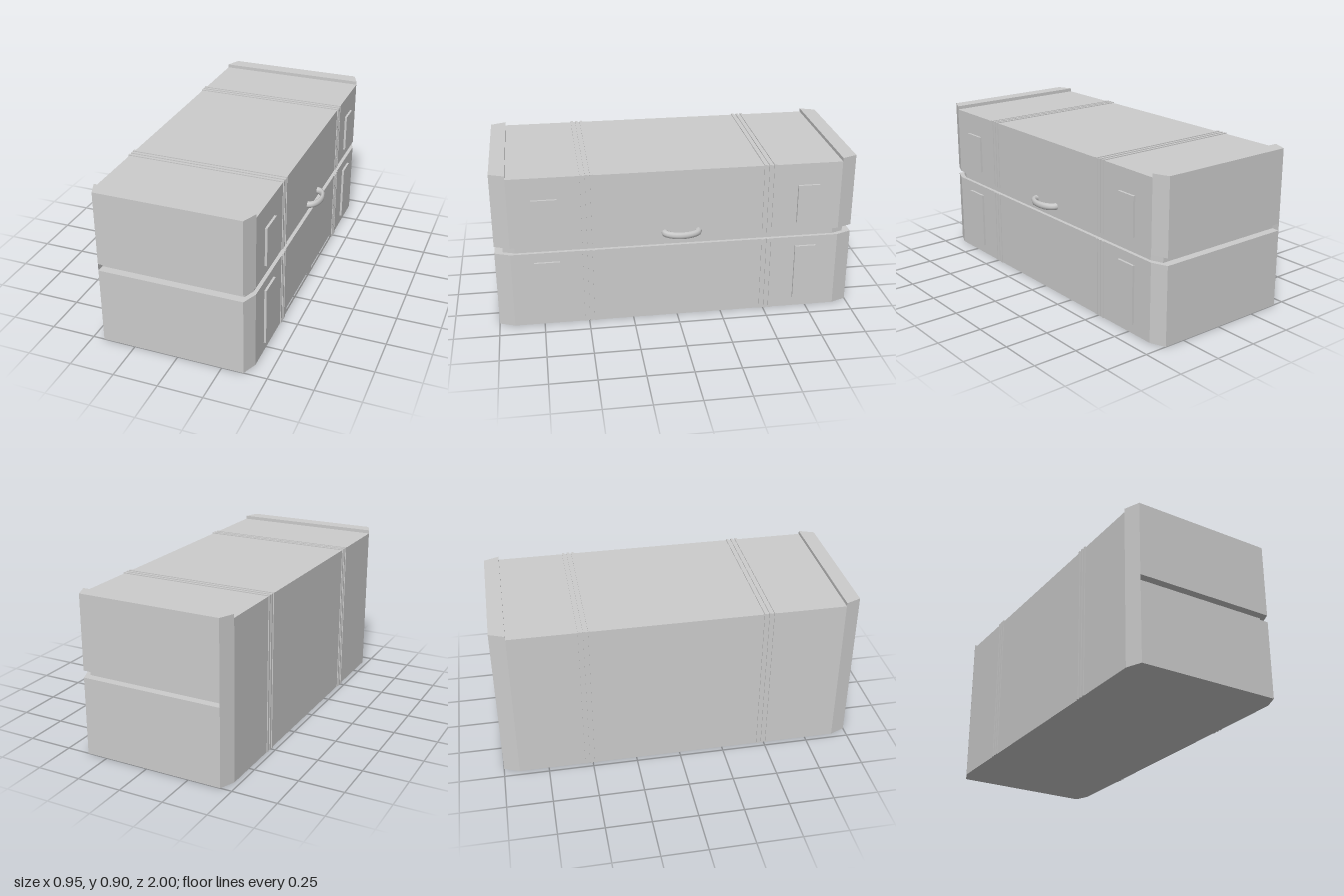
import * as THREE from 'three';

const mat = new THREE.MeshStandardMaterial({ color: 0xcccccc, flatShading: true });
const smooth = new THREE.MeshStandardMaterial({ color: 0xcccccc, side: THREE.DoubleSide });

export function createModel() {
  const group = new THREE.Group();
  const add = (name, geo, material = mat) => {
    const mesh = new THREE.Mesh(geo, material);
    mesh.name = name;
    group.add(mesh);
    return mesh;
  };
  const box = (name, x0, x1, y0, y1, z0, z1) => {
    const geo = new THREE.BoxGeometry(x1 - x0, y1 - y0, z1 - z0);
    geo.translate((x0 + x1) / 2, (y0 + y1) / 2, (z0 + z1) / 2);
    return add(name, geo);
  };
  // upright prism over a floor plan of [x, z] points
  const prism = (name, plan, y0, y1) => {
    const shape = new THREE.Shape(plan.map(([x, z]) => new THREE.Vector2(x, -z)));
    const geo = new THREE.ExtrudeGeometry(shape, { depth: y1 - y0, bevelEnabled: false });
    geo.rotateX(-Math.PI / 2).translate(0, y0, 0);
    return add(name, geo);
  };
  // mirrors half a plan (z > 0) to the other end
  const mirrored = (half) => [...half, ...half.map(([x, z]) => [x, -z]).reverse()];
  const rect = (Type, z0, z1, y0, y1) => new Type([[z0, y0], [z1, y0], [z1, y1], [z0, y1]]
    .map(([z, y]) => new THREE.Vector2(-z, y)));
  // plate on the +x side with rectangular recesses [z0, z1, y0, y1]
  const sidePlate = (name, y0, y1, recesses) => {
    const shape = rect(THREE.Shape, -0.915, 0.915, y0, y1);
    shape.holes = recesses.map((r) => rect(THREE.Path, ...r));
    const geo = new THREE.ExtrudeGeometry(shape, { depth: 0.015, bevelEnabled: false });
    geo.rotateY(Math.PI / 2).translate(0.39, 0, 0);
    return add(name, geo);
  };

  // chamfered halves of the crate, and the narrower seam between them
  const body = mirrored([[0.39, 0.915], [0.405, 0.915], [0.37, 1], [-0.435, 1], [-0.47, 0.915]]);
  const seam = mirrored([[0.385, 0.89], [0.36, 0.955], [-0.435, 0.955], [-0.435, 1], [-0.47, 0.915]]);
  prism('lowerBody', body, 0, 0.44);
  prism('seam', seam, 0.44, 0.48);
  prism('upperBody', body, 0.48, 0.88);
  sidePlate('lowerSidePlate', 0, 0.44, [[0.03, 0.415, 0.02, 0.425], [-0.435, -0.05, 0.02, 0.425]]);
  sidePlate('upperSidePlate', 0.48, 0.88, [[-0.45, 0.43, 0.815, 0.87]]);

  for (const s of [1, -1]) {
    // raised lip on top of each end
    prism('endLip', [[0.405, 0.915 * s], [0.37, s], [-0.435, s], [-0.47, 0.915 * s]], 0.88, 0.9);

    // raised side panels
    const [z0, z1] = s > 0 ? [0.65, 0.79] : [-0.79, -0.67];
    box('lowerPanel', 0.4, 0.418, 0.055, 0.385, z0, z1);
    box('upperPanel', 0.4, 0.418, 0.535, 0.755, z0, z1);

    // three thin ribs wrapping the sides and top
    for (const i of [-1, 0, 1]) {
      const z = 0.5 * s - 0.01 + 0.027 * i, a = z - 0.007, b = z + 0.007;
      box('lowerRib', 0.4, 0.41, 0, 0.44, a, b);
      box('upperRib', 0.4, 0.41, 0.48, 0.88, a, b);
      box('topRib', -0.475, 0.41, 0.875, 0.885, a, b);
      box('backRib', -0.475, -0.465, 0, 0.88, a, b);
    }
  }

  // flattened half-ring handle
  const handle = new THREE.TorusGeometry(0.093, 0.02, 8, 18, Math.PI);
  handle.scale(1, 0.6, 1);
  handle.applyMatrix4(new THREE.Matrix4().makeBasis(
    new THREE.Vector3(0, 0, 1), new THREE.Vector3(1, 0, 0), new THREE.Vector3(0, 1, 0)));
  handle.translate(0.403, 0.518, -0.023);
  add('handle', handle, smooth);

  return group;
}
